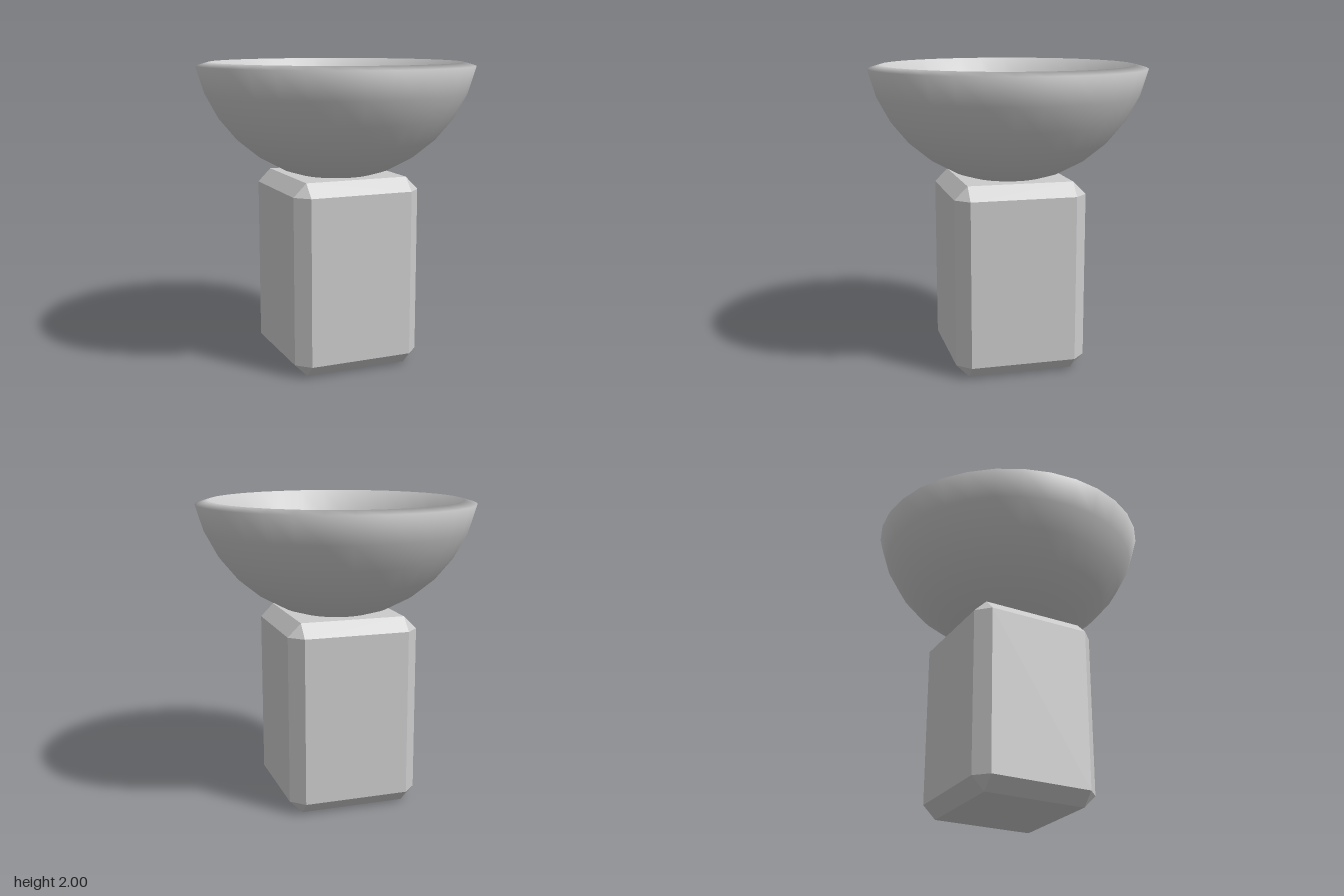
import * as THREE from 'three';
import { ConvexGeometry } from 'three/addons/geometries/ConvexGeometry.js';

// Box with every edge cut at 45 degrees
function chamferedBox(halfX, halfY, halfZ, cut) {
  const points = [];
  for (const x of [-1, 1]) for (const y of [-1, 1]) for (const z of [-1, 1]) {
    for (let axis = 0; axis < 3; axis++) {
      const p = [halfX - cut, halfY - cut, halfZ - cut];
      p[axis] += cut;
      points.push(new THREE.Vector3(x * p[0], y * p[1], z * p[2]));
    }
  }
  return new ConvexGeometry(points);
}

// Lower part of a sphere, as profile points from the pole to the rim
function sphereArc(radius, centerY) {
  const points = [];
  for (let i = 0; i <= 7; i++) {
    const a = i * Math.PI / 16;
    points.push(new THREE.Vector2(radius * Math.sin(a), centerY - radius * Math.cos(a)));
  }
  return points;
}

export function createModel() {
  const model = new THREE.Group();

  // Faceted block that carries the bowl
  const height = 1.265;
  const pedestal = new THREE.Mesh(
    chamferedBox(0.432, height / 2, 0.432, 0.086),
    new THREE.MeshStandardMaterial({ color: 0xcccccc, flatShading: true })
  );
  pedestal.name = 'pedestal';
  pedestal.position.y = height / 2;
  model.add(pedestal);

  // Thick-walled bowl: up the outside, over the rim, down the inside
  const profile = [...sphereArc(0.93, 2.156), ...sphereArc(0.845, 2.163).reverse()];
  const bowl = new THREE.Mesh(
    new THREE.LatheGeometry(profile, 32),
    new THREE.MeshStandardMaterial({ color: 0xcccccc })
  );
  bowl.name = 'bowl';
  model.add(bowl);

  return model;
}
